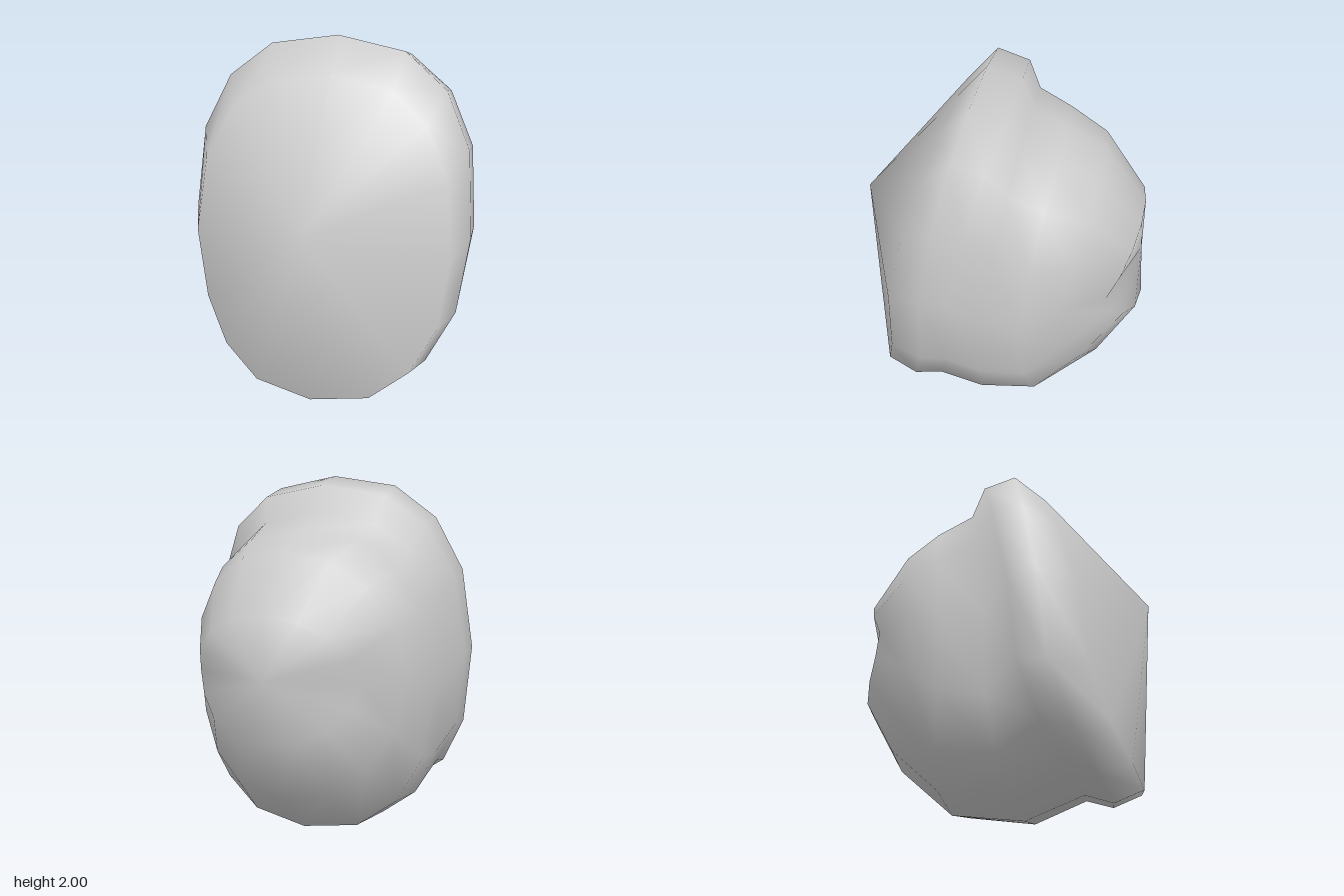
import * as THREE from 'three';

const SEGMENTS = 16;

// Bent loops from back to front:
// [top z, top y, half width, side z, bottom z, bottom y, roundness]
const LOOPS = [
  [-0.77, 1.28, 0.46, -0.62, -0.81, 0.64, 2.0],
  [-0.53, 1.59, 0.61, -0.39, -0.62, 0.31, 2.2],
  [-0.32, 1.70, 0.70, -0.20, -0.32, 0.05, 2.4],
  [-0.14, 1.79, 0.69, 0.02, 0.08, 0.00, 2.6],
  // raised rim around the front
  [-0.08, 1.94, 0.77, 0.16, 0.40, 0.12, 2.5],
  [0.10, 2.00, 0.77, 0.31, 0.55, 0.07, 2.5],
  // edge of the broad front face
  [0.25, 1.83, 0.69, 0.50, 0.71, 0.13, 2.5],
];

const soften = (v, n) => Math.sign(v) * Math.pow(Math.abs(v), 2 / n);

function loopPoint([tz, ty, w, sz, bz, by, n], angle) {
  const cos = Math.cos(angle);
  // the upper half leans back evenly, the lower half sweeps forward late
  const z = cos > 0
    ? THREE.MathUtils.lerp(sz, tz, cos)
    : THREE.MathUtils.lerp(sz, bz, cos * cos);
  const y = (ty + by) / 2 + ((ty - by) / 2) * soften(cos, n);
  return [w * soften(Math.sin(angle), n), y, z];
}

function createBodyGeometry() {
  const positions = [];
  const index = [];
  const at = (ring, i) => ring * SEGMENTS + (i % SEGMENTS);

  for (const loop of LOOPS) {
    for (let i = 0; i < SEGMENTS; i++) {
      positions.push(...loopPoint(loop, (i / SEGMENTS) * Math.PI * 2));
    }
  }
  const last = LOOPS.length - 1;
  const back = LOOPS.length * SEGMENTS;
  const front = back + 1;
  positions.push(0, 0.96, -0.78, 0, 1.19, 0.81);

  // skin between loops, closed by a point at each end
  for (let i = 0; i < SEGMENTS; i++) {
    for (let r = 0; r < last; r++) {
      const a = at(r, i), b = at(r + 1, i), c = at(r + 1, i + 1), d = at(r, i + 1);
      index.push(a, b, d, b, c, d);
    }
    index.push(back, at(0, i), at(0, i + 1));
    index.push(front, at(last, i + 1), at(last, i));
  }

  const geometry = new THREE.BufferGeometry();
  geometry.setAttribute('position', new THREE.Float32BufferAttribute(positions, 3));
  geometry.setIndex(index);
  geometry.computeVertexNormals();
  return geometry;
}

export function createModel() {
  const group = new THREE.Group();
  group.name = 'lumpyRock';
  const body = new THREE.Mesh(
    createBodyGeometry(),
    new THREE.MeshStandardMaterial({ color: 0xcccccc })
  );
  body.name = 'body';
  group.add(body);
  return group;
}
